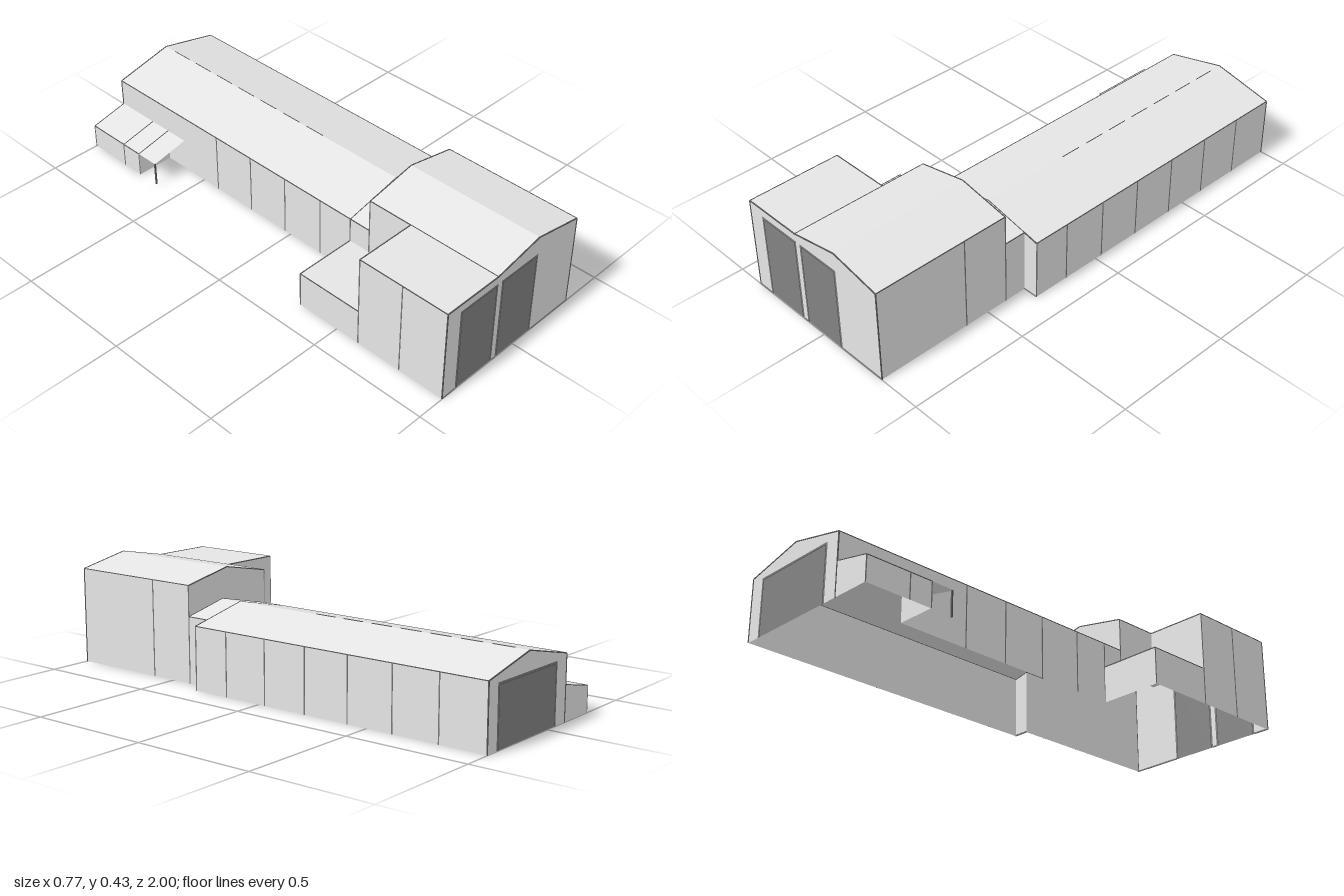
import * as THREE from 'three';

export function createModel() {
  const model = new THREE.Group();
  const mat = (name, color) => new THREE.MeshStandardMaterial({ name, color, side: THREE.DoubleSide });
  const wallMat = mat('light grey panel', 0xe5e5e5);
  const doorMat = mat('grey door', 0x828282);
  const frameMat = mat('frame and seam grey', 0x7a7a7a);
  const trimMat = mat('dark grey trim', 0x555555);

  const add = (name, geo, m) => {
    const mesh = new THREE.Mesh(geo, m);
    mesh.name = name;
    model.add(mesh);
    return mesh;
  };
  // flat four-cornered panel
  const quad = (name, a, b, c, d) => {
    const g = new THREE.BufferGeometry();
    g.setAttribute('position', new THREE.Float32BufferAttribute([a, b, c, a, c, d].flat(), 3));
    g.computeVertexNormals();
    return add(name, g, wallMat);
  };
  // upright panel facing z, drawn from an outline of [x, y] points; side -1 faces the back
  const endWall = (name, pts, z, side = 1, m = wallMat) => {
    const g = new THREE.ShapeGeometry(new THREE.Shape(pts.map(([x, y]) => new THREE.Vector2(x * side, y))));
    if (side < 0) g.rotateY(Math.PI);
    g.translate(0, 0, z);
    return add(name, g, m);
  };
  // upright panel facing x; s is the outward side
  const sideWall = (name, x, z0, z1, y0, y1, s) => {
    const [a, b] = s > 0 ? [z1, z0] : [z0, z1];
    return quad(name, [x, y0, a], [x, y0, b], [x, y1, b], [x, y1, a]);
  };
  // roof surface swept along z under a line of [x, y] points
  const roof = (name, pts, z0, z1) => {
    for (let i = 0; i < pts.length - 1; i++) {
      const [p, q] = [pts[i], pts[i + 1]];
      quad(name, [...p, z1], [...q, z1], [...q, z0], [...p, z0]);
    }
  };
  // slim strip between two points
  const strip = (name, a, b, w = 0.004, m = trimMat) => {
    const A = new THREE.Vector3(...a), B = new THREE.Vector3(...b);
    const mesh = add(name, new THREE.BoxGeometry(w, w, A.distanceTo(B)), m);
    mesh.position.copy(A).add(B).multiplyScalar(0.5);
    mesh.lookAt(B);
  };
  const edgeLine = (name, pts, z, w, m) => {
    for (let i = 0; i < pts.length - 1; i++) strip(name, [...pts[i], z], [...pts[i + 1], z], w, m);
  };
  // vertical seam lying on the outside of a side wall
  const seam = (x, z, y0, y1, s) => {
    const mesh = add('panelSeam', new THREE.BoxGeometry(0.001, y1 - y0, 0.005), frameMat);
    mesh.position.set(x + s * 0.0011, (y0 + y1) / 2, z);
  };
  // door leaf inside a thin frame
  const door = (name, x0, x1, h, z, side) => {
    const t = 0.009;
    endWall(name, [[x0 + t, 0], [x1 - t, 0], [x1 - t, h - t], [x0 + t, h - t]], z, side, doorMat);
    endWall(name + 'Frame', [[x0, 0], [x0 + t, 0], [x0 + t, h - t], [x1 - t, h - t],
      [x1 - t, 0], [x1, 0], [x1, h], [x0, h]], z, side, frameMat);
    edgeLine(name + 'Line', [[x0 + t, 0], [x0 + t, h - t], [x1 - t, h - t], [x1 - t, 0]], z, 0.002);
  };
  const notch = (x0, x1, h) => [[x1, 0], [x1, h], [x0, h], [x0, 0]];

  const F = 0.998, B = -0.998;           // front and back ends
  const L = 0.383, W = -0.383;           // outer sides
  const hall = [[-0.12, 0.39], [0.1, 0.433], [0.32, 0.39]];
  const wing = [[-0.12, 0.253], [0.13, 0.309], [L, 0.253]];
  const link = [[-0.12, 0.253], [0.13, 0.309], [0.32, 0.267]];
  const zLink = 0.315, zHall = 0.41, zBay = 0.604, zShed = -0.715, lowH = 0.15;

  // front hall with its flat-roofed bay
  endWall('hallFrontWall', [[W, 0], [W, 0.39], ...hall, [0.32, 0],
    ...notch(-0.097, 0.103, 0.357), ...notch(-0.315, -0.117, 0.357)], F);
  door('frontDoorA', -0.315, -0.117, 0.357, F, 1);
  door('frontDoorB', -0.097, 0.103, 0.357, F, 1);
  roof('hallRoof', hall, zHall, F);
  roof('bayRoof', [[W, 0.39], hall[0]], zBay, F);
  sideWall('hallLeftWall', 0.32, zHall, F, 0, 0.39, 1);
  sideWall('bayRightWall', W, zBay, F, 0, 0.39, -1);
  sideWall('hallRightWall', -0.12, zHall, zBay, lowH, 0.39, -1);
  quad('bayBackWall', [-0.12, lowH, zBay], [W, lowH, zBay], [W, 0.39, zBay], [-0.12, 0.39, zBay]);
  endWall('hallBackWall', [...hall, ...[...link].reverse()], zHall, -1);

  // low box beside the link
  roof('lowRoof', [[W, lowH], [-0.12, lowH]], zLink, zBay);
  sideWall('lowRightWall', W, zLink, zBay, 0, lowH, -1);
  quad('lowBackWall', [-0.12, 0, zLink], [W, 0, zLink], [W, lowH, zLink], [-0.12, lowH, zLink]);

  // link between hall and wing
  roof('linkRoof', link, zLink, zHall);
  sideWall('linkLeftWall', 0.32, zLink, zHall, 0, 0.267, 1);
  sideWall('linkRightWall', -0.12, zLink, zHall, lowH, 0.253, -1);

  // long rear wing, open to the lean-to
  roof('wingRoof', wing, B, zLink);
  sideWall('wingLeftWall', L, B, zLink, 0, 0.253, 1);
  sideWall('wingRightWall', -0.12, zShed, zLink, 0, 0.253, -1);
  sideWall('wingRightWall', -0.12, B, zShed, 0.138, 0.253, -1);
  endWall('wingFrontReturn', [[0.32, 0], [L, 0], [L, 0.253], [0.32, 0.267]], zLink);
  endWall('wingBackWall', [[-0.12, 0], ...wing, [L, 0], ...notch(-0.058, 0.326, 0.236)], B, -1);
  door('backDoor', -0.058, 0.326, 0.236, B, -1);
  // thin upright vents along the ridge
  for (let i = 0; i < 7; i++) {
    const vent = add('ridgeVent', new THREE.BoxGeometry(0.0015, 0.006, 0.09), trimMat);
    vent.position.set(0.13, 0.309, -0.115 - i * 0.13);
  }

  // lean-to with open canopy and post
  const shed = [[-0.28, 0.103], [-0.12, 0.138]];
  endWall('shedBackWall', [[-0.28, 0], ...shed, [-0.12, 0]], B, -1);
  endWall('shedFrontWall', [[-0.28, 0], ...shed, [-0.12, 0]], zShed);
  sideWall('shedRightWall', -0.28, B, zShed, 0, 0.103, -1);
  roof('shedRoof', shed, B, -0.615);
  strip('canopyPost', [-0.276, 0, -0.62], [-0.276, 0.102, -0.62], 0.006);
  for (const z of [B, -0.81, zShed]) {
    edgeLine('shedRoofLine', shed, z, 0.003);
    seam(-0.28, z, 0, 0.103, -1);
  }
  strip('shedEave', [-0.28, 0.103, B], [-0.28, 0.103, zShed], 0.003);

  // edge trims
  edgeLine('hallFrontTrim', [[W, 0], [W, 0.39], ...hall, [0.32, 0]], F);
  edgeLine('hallBackTrim', hall, zHall);
  edgeLine('linkTrim', link, zHall);
  edgeLine('linkTrim', link, zLink, 0.003);
  edgeLine('wingBackTrim', [[-0.12, 0], ...wing, [L, 0]], B);
  edgeLine('bayBackTrim', [[W, 0.39], [-0.12, 0.39]], zBay);
  edgeLine('lowBackTrim', [[W, lowH], [-0.12, lowH]], zLink);
  edgeLine('wingReturnTrim', [[0.32, 0.267], [L, 0.253]], zLink);
  for (const [x0, x1, z] of [[W, -0.315, F], [-0.117, -0.097, F], [0.103, 0.32, F], [0.32, L, zLink]])
    edgeLine('wallBase', [[x0, 0.0025], [x1, 0.0025]], z, 0.005, frameMat);
  const eave = (x, y, z0, z1) => strip('eaveTrim', [x, y, z0], [x, y, z1], 0.003);
  eave(0.32, 0.39, zHall, F);
  eave(-0.12, 0.39, zHall, F);
  eave(W, 0.39, zBay, F);
  eave(W, lowH, zLink, zBay);
  eave(0.32, 0.267, zLink, zHall);
  eave(L, 0.253, B, zLink);
  eave(-0.12, 0.253, B, zHall);

  // vertical panel seams
  for (const z of [zLink, 0.16, -0.03, -0.22, -0.415, -0.61, -0.805]) {
    seam(L, z, 0, 0.253, 1);
    if (z > -0.6) seam(-0.12, z, 0, 0.253, -1);
  }
  seam(0.32, zHall, 0, 0.39, 1);
  seam(0.32, zBay, 0, 0.39, 1);
  seam(W, zBay, 0, 0.39, -1);
  seam(W, 0.8, 0, 0.39, -1);
  seam(W, zLink, 0, lowH, -1);
  seam(-0.12, zHall, lowH, 0.39, -1);
  return model;
}
